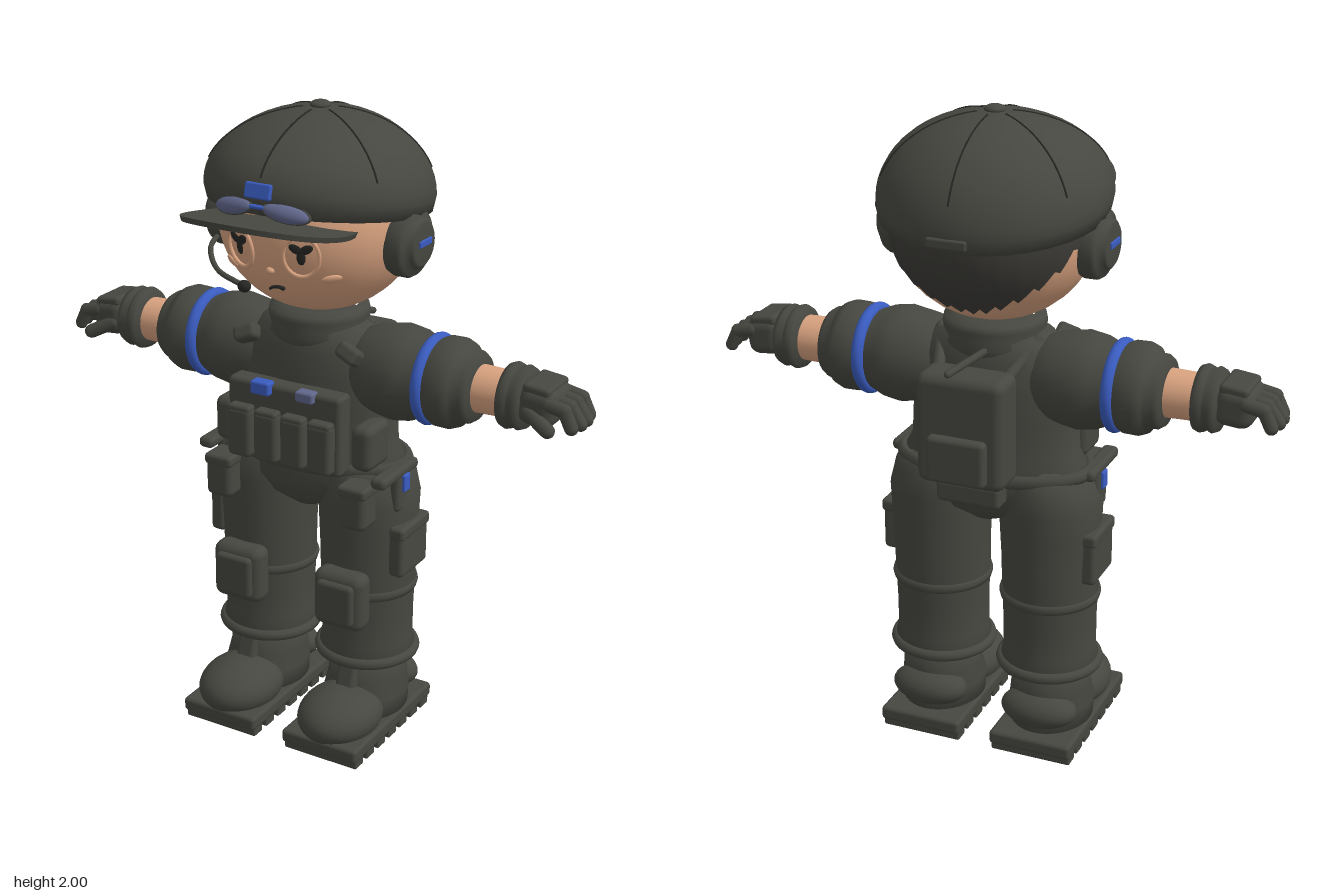
import * as THREE from 'three';
import { RoundedBoxGeometry } from 'three/addons/geometries/RoundedBoxGeometry.js';

const material = (name, color) => Object.assign(new THREE.MeshStandardMaterial({ color }), { name });
const V = (x, y, z) => new THREE.Vector3(x, y, z);

export function createModel() {
  const cloth = material('charcoal cloth', 0x464740);
  const skin = material('skin', 0xd9a380);
  const blue = material('blue trim', 0x3a5cc0);
  const lens = material('goggle lens', 0x60668a);
  const black = material('black', 0x262624);
  const model = new THREE.Group();
  model.name = 'officer';

  // ---- helpers ----
  const add = (name, geo, mat, p = [0, 0, 0], rot = [0, 0, 0], parent = model) => {
    const m = new THREE.Mesh(geo, mat);
    m.name = name;
    m.position.set(...p);
    m.rotation.set(...rot);
    parent.add(m);
    return m;
  };
  const box = (w, h, d, r = 0.015) => new RoundedBoxGeometry(w, h, d, 2, Math.min(r, w / 2.1, h / 2.1, d / 2.1));
  const ball = (rx, ry, rz) => new THREE.SphereGeometry(1, 32, 20).scale(rx, ry, rz);
  const lathe = (pts) => new THREE.LatheGeometry(pts.map(([y, r]) => new THREE.Vector2(r, y)), 36);
  const rod = (name, a, b, r, mat = cloth) => {
    const d = b.clone().sub(a);
    const m = add(name, new THREE.CapsuleGeometry(r, d.length(), 4, 10), mat, a.clone().add(b).multiplyScalar(0.5).toArray());
    m.quaternion.setFromUnitVectors(V(0, 1, 0), d.normalize());
    return m;
  };
  // closed skin over ellipse sections [y, cx, cz, rx, rz], bottom to top
  const loft = (sections, n = 36) => {
    const first = sections[0], last = sections.at(-1);
    const rings = [[first[0], first[1], first[2], 0, 0], ...sections, [last[0], last[1], last[2], 0, 0]];
    const pos = [], idx = [];
    rings.forEach(([y, cx, cz, rx, rz], i) => {
      for (let j = 0; j < n; j++) {
        const a = (j / n) * Math.PI * 2;
        pos.push(cx + rx * Math.cos(a), y, cz + rz * Math.sin(a));
        if (i === rings.length - 1) continue;
        const p = i * n + j, q = i * n + ((j + 1) % n);
        idx.push(p, p + n, q, p + n, q + n, q);
      }
    });
    const g = new THREE.BufferGeometry();
    g.setAttribute('position', new THREE.Float32BufferAttribute(pos, 3));
    g.setIndex(idx);
    g.computeVertexNormals();
    return g;
  };

  // ---- head ----
  const H = { y: 1.66, z: -0.1, rx: 0.3, ry: 0.275, rz: 0.29 };
  add('head', ball(H.rx, H.ry, H.rz), skin, [0, H.y, H.z]);
  const onFace = (name, x, y) => {
    const z = H.rz * Math.sqrt(1 - (x / H.rx) ** 2 - ((y - H.y) / H.ry) ** 2);
    const g = new THREE.Group();
    g.name = name;
    g.position.set(x, y, z + H.z);
    g.lookAt(x + x / H.rx ** 2, y + (y - H.y) / H.ry ** 2, z + H.z + z / H.rz ** 2);
    model.add(g);
    return g;
  };
  for (const s of [1, -1]) {
    const eye = onFace('eye', 0.1 * s, 1.62);
    add('eyeRim', new THREE.TorusGeometry(0.052, 0.006, 8, 32).scale(1, 1.2, 1), skin, [0, 0, 0], [0, 0, 0], eye);
    for (let i = 0; i < 3; i++) {
      const a = Math.PI / 6 + (i * Math.PI * 2) / 3;
      add('pupil', ball(0.022, 0.013, 0.004), black, [Math.cos(a) * 0.017, 0.015 + Math.sin(a) * 0.017, 0.003], [0, 0, a], eye);
    }
    add('cheek', ball(0.03, 0.014, 0.008), skin, [0, 0, 0], [0, 0, 0.2 * s], onFace('cheekSpot', 0.165 * s, 1.55));
  }
  add('nose', ball(0.013, 0.011, 0.012), skin, [0, 0, 0], [0, 0, 0], onFace('noseSpot', 0, 1.565));
  add('mouth', new THREE.TorusGeometry(0.03, 0.006, 6, 16, Math.PI * 0.7).scale(1, 0.6, 1), black, [0, -0.012, 0.002], [0, 0, Math.PI * 0.15], onFace('mouthSpot', 0, 1.505));

  // hair on the back of the head, jagged lower edge
  const hair = new THREE.PlaneGeometry(1, 1, 40, 10), hp = hair.attributes.position;
  for (let i = 0; i < hp.count; i++) {
    const u = hp.getX(i) * 2, a = u * 1.3;
    const low = 1.455 + 0.22 * u * u + 0.012 * (Math.round((u + 1) * 20) % 3 - 1);
    const y = low + (1.74 - low) * (hp.getY(i) + 0.5);
    const r = Math.sqrt(1 - ((y - H.y) / H.ry) ** 2) * 1.02;
    hp.setXYZ(i, -Math.sin(a) * H.rx * r, y, H.z - Math.cos(a) * H.rz * r);
  }
  hair.computeVertexNormals();
  const hairMat = cloth.clone();
  hairMat.name = 'dark hair';
  hairMat.color.set(0x3c3b37);
  hairMat.side = THREE.DoubleSide;
  add('hair', hair, hairMat);

  // ---- cap ----
  const tilt = (y, z) => y + 0.12 * z * Math.min(1, 1 - y / 0.24);
  const profile = [[-0.04, 0.28], [-0.04, 0.328]];
  for (let i = 0; i <= 14; i++) {
    const t = (i / 14) * Math.PI / 2;
    profile.push([0.24 * Math.sin(t), Math.max(0, 0.337 * Math.cos(t))]);
  }
  const dome = lathe(profile), dp = dome.attributes.position;
  for (let i = 0; i < dp.count; i++) dp.setY(i, tilt(dp.getY(i), dp.getZ(i)));
  dome.computeVertexNormals();
  add('cap', dome, cloth, [0, 1.74, H.z]);
  add('capButton', ball(0.03, 0.014, 0.03), cloth, [0, 1.983, H.z]);
  for (let k = 0; k < 6; k++) {
    const phi = (k * Math.PI) / 3, pts = [];
    for (let t = 0.15; t < 1.3; t += 0.1) {
      const z = 0.337 * Math.sin(t) * Math.cos(phi);
      pts.push(V(0.337 * Math.sin(t) * Math.sin(phi), tilt(0.24 * Math.cos(t), z), z));
    }
    add('capSeam', new THREE.TubeGeometry(new THREE.CatmullRomCurve3(pts), 24, 0.003, 5), black, [0, 1.74, H.z]);
  }
  add('capStrap', box(0.12, 0.03, 0.015), cloth, [0, 1.69, -0.435]);
  const brim = new THREE.CylinderGeometry(1, 0.98, 0.016, 40).scale(0.245, 1, 0.268), bp = brim.attributes.position;
  for (let i = 0; i < bp.count; i++) bp.setY(i, bp.getY(i) - 0.35 * bp.getX(i) ** 2);
  add('brim', brim, cloth, [0, 1.715, 0.17], [-0.17, 0, 0]);

  // goggles resting on the brim
  for (const s of [1, -1]) {
    add('goggleLens', ball(0.068, 0.025, 0.02), lens, [0.085 * s, 1.755, 0.225], [-0.4, 0.25 * s, -0.06 * s]);
    add('goggleFrame', new THREE.TorusGeometry(1, 0.08, 6, 28).scale(0.068, 0.026, 0.06), cloth, [0.085 * s, 1.755, 0.223], [-0.4, 0.25 * s, -0.06 * s]);
  }
  add('goggleBridge', box(0.05, 0.012, 0.02), blue, [0, 1.765, 0.235]);
  add('capBadge', box(0.085, 0.045, 0.03, 0.006), blue, [0, 1.807, 0.225], [-0.25, 0, 0]);

  // ---- headset ----
  const cup = lathe([[0.26, 0.06], [0.265, 0.095], [0.28, 0.102], [0.315, 0.102], [0.328, 0.094], [0.33, 0.072], [0.345, 0.07], [0.352, 0.06], [0.353, 0]]);
  for (const s of [1, -1]) {
    add('earCup', cup, cloth, [0, 1.63, -0.085], [0, 0, -s * Math.PI / 2]);
    add('earLight', box(0.008, 0.02, 0.07, 0.003), blue, [0.354 * s, 1.635, -0.085]);
  }
  const boom = new THREE.CatmullRomCurve3([V(-0.3, 1.58, -0.03), V(-0.27, 1.56, 0.07), V(-0.2, 1.525, 0.14), V(-0.09, 1.505, 0.175)]);
  add('microphoneBoom', new THREE.TubeGeometry(boom, 24, 0.008, 8), cloth);
  add('microphone', ball(0.02, 0.018, 0.018), black, [-0.085, 1.505, 0.177]);

  // ---- torso ----
  const Z = -0.1;
  add('torso', loft([[0.775, 0, Z, 0.07, 0.1], [0.81, 0, Z, 0.18, 0.14], [0.87, 0, Z, 0.285, 0.162], [0.93, 0, Z, 0.295, 0.165], [0.99, 0, Z, 0.262, 0.155],
    [1.1, 0, Z, 0.255, 0.16], [1.2, 0, Z, 0.255, 0.157], [1.28, 0, Z, 0.235, 0.15], [1.34, 0, Z, 0.18, 0.135], [1.37, 0, Z, 0.12, 0.11]]), cloth);
  add('collar', lathe([[1.3, 0.145], [1.325, 0.155], [1.345, 0.147], [1.37, 0.152], [1.39, 0.148], [1.4, 0.12]]), cloth, [0, 0, Z]);
  add('belt', new THREE.TorusGeometry(1, 0.07, 8, 48).rotateX(Math.PI / 2).scale(0.292, 0.3, 0.17), cloth, [0, 0.935, Z]);
  add('chestPanel', box(0.385, 0.25, 0.07), cloth, [0, 1.065, 0.075]);
  for (let i = 0; i < 4; i++) {
    const x = -0.136 + i * 0.091;
    add('chestPouch', box(0.08, 0.155, 0.06), cloth, [x, 1.03, 0.115]);
    add('pouchFlap', box(0.076, 0.03, 0.06, 0.01), cloth, [x, 1.1, 0.113]);
  }
  add('chestTag', box(0.065, 0.042, 0.04, 0.008), blue, [-0.07, 1.178, 0.11]);
  add('chestDevice', box(0.06, 0.034, 0.04, 0.008), lens, [0.08, 1.178, 0.108]);

  // ---- backpack ----
  add('backpack', box(0.27, 0.335, 0.13, 0.03), cloth, [0, 1.113, -0.31]);
  add('backpackPocket', box(0.18, 0.14, 0.05, 0.015), cloth, [0, 1.035, -0.378]);
  add('backPouch', box(0.2, 0.07, 0.07), cloth, [0, 0.9, -0.28]);
  rod('packHandle', V(-0.05, 1.335, -0.2), V(0.03, 1.29, -0.37), 0.011);

  const sleeve = lathe([[0.08, 0.05], [0.13, 0.105], [0.2, 0.132], [0.28, 0.145], [0.33, 0.137], [0.37, 0.12], [0.4, 0.124], [0.42, 0.134], [0.46, 0.135],
    [0.485, 0.125], [0.49, 0.108], [0.515, 0.108], [0.53, 0.098], [0.535, 0.065]]);
  const wrist = lathe([[0.612, 0.065], [0.62, 0.092], [0.635, 0.098], [0.65, 0.093], [0.655, 0.086], [0.67, 0.095], [0.687, 0.088], [0.695, 0.05]]);
  for (const s of [1, -1]) {
    // ---- arm ----
    const turn = [0, 0, -s * Math.PI / 2], arm = [0, 1.225, -0.105];
    add('sleeve', sleeve, cloth, arm, turn);
    add('armBand', new THREE.TorusGeometry(0.119, 0.019, 12, 40), blue, [0.387 * s, 1.225, -0.105], [0, Math.PI / 2, 0]);
    add('forearm', lathe([[0.5, 0.072], [0.64, 0.068]]), skin, arm, turn);
    add('gloveCuff', wrist, cloth, arm, turn);
    add('palm', box(0.115, 0.115, 0.155, 0.035), cloth, [0.735 * s, 1.228, -0.1], [0, 0, -0.1 * s]);
    add('knucklePad', box(0.085, 0.03, 0.14, 0.012), cloth, [0.735 * s, 1.28, -0.1], [0, 0, -0.12 * s]);
    for (let i = 0; i < 4; i++) {
      const z = -0.163 + i * 0.041, tip = i % 3 ? 0.855 : 0.845;
      rod('fingerBase', V(0.77 * s, 1.247, z), V(0.822 * s, 1.237, z), 0.021);
      rod('fingerTip', V(0.822 * s, 1.237, z), V(tip * s, 1.19, z), 0.02);
    }
    rod('thumb', V(0.715 * s, 1.215, -0.035), V(0.785 * s, 1.18, -0.012), 0.022);

    // ---- shoulder and hip gear ----
    add('shoulderClip', box(0.075, 0.05, 0.06), cloth, [0.175 * s, 1.3, 0.025], [-0.5, 0, -0.4 * s]);
    rod('packStrap', V(0.1 * s, 1.25, -0.28), V(0.15 * s, 1.34, -0.14), 0.018);
    add('sidePouch', box(0.07, 0.14, 0.13, 0.025), cloth, [0.235 * s, 1.025, 0.005]);
    add('hipPouch', box(0.09, 0.13, 0.09, 0.02), cloth, [0.232 * s, 0.85, 0.07]);
    add('hipFlap', box(0.095, 0.035, 0.095, 0.012), cloth, [0.232 * s, 0.905, 0.07]);
    add('hipRail', box(0.05, 0.035, 0.22), cloth, [0.3 * s, 0.935, -0.03]);
    add('hipHolder', box(0.035, 0.12, 0.08), cloth, [0.305 * s, 0.87, -0.055]);
    add('hipTag', box(0.02, 0.055, 0.035, 0.005), blue, [0.322 * s, 0.9, -0.055]);

    // ---- leg ----
    const c = 0.177 * s;
    add('trouserLeg', loft([[0.29, c, Z, 0.135, 0.135], [0.31, c, Z, 0.15, 0.15], [0.35, c, Z, 0.142, 0.137], [0.45, c, Z, 0.142, 0.14], [0.55, c, Z, 0.145, 0.147],
      [0.65, c, Z, 0.147, 0.15], [0.75, c, Z, 0.152, 0.153], [0.83, c, Z, 0.155, 0.158], [0.91, 0.17 * s, Z, 0.14, 0.157], [0.96, 0.16 * s, Z, 0.1, 0.12]]), cloth);
    add('trouserHem', new THREE.TorusGeometry(0.146, 0.018, 10, 40).rotateX(Math.PI / 2), cloth, [c, 0.3, Z]);
    add('kneePad', box(0.17, 0.185, 0.08, 0.03), cloth, [0.18 * s, 0.53, 0.065]);
    add('kneePlate', box(0.125, 0.135, 0.03, 0.014), cloth, [0.18 * s, 0.53, 0.106]);
    add('kneeStrap', new THREE.TorusGeometry(0.146, 0.008, 6, 40).rotateX(Math.PI / 2).scale(1, 2, 1), cloth, [c, 0.53, Z]);
    add('thighPocket', box(0.05, 0.16, 0.165), cloth, [0.318 * s, 0.68, -0.09]);
    add('pocketFlap', box(0.05, 0.04, 0.175, 0.012), cloth, [0.322 * s, 0.745, -0.09]);

    // ---- boot ----
    const b = 0.182 * s;
    add('bootShaft', loft([[0.08, b, -0.09, 0.125, 0.15], [0.16, b, -0.09, 0.128, 0.15], [0.22, b, -0.1, 0.12, 0.13], [0.31, b, Z, 0.122, 0.13]]), cloth);
    add('bootToe', ball(0.126, 0.085, 0.155), cloth, [b, 0.135, 0.072]);
    add('toeCap', ball(0.095, 0.055, 0.09), cloth, [b, 0.165, 0.09]);
    add('bootHeel', ball(0.12, 0.06, 0.075), cloth, [b, 0.17, -0.198]);
    add('bootTongue', box(0.065, 0.1, 0.05), cloth, [b, 0.24, 0.025], [-0.25, 0, 0]);
    add('sole', box(0.262, 0.045, 0.495, 0.012), cloth, [b, 0.08, -0.037]);
    for (let i = 0; i < 7; i++) add('tread', box(0.255, 0.035, 0.048, 0.006), cloth, [b, 0.05, 0.173 - i * 0.07]);
    add('soleBall', ball(0.1, 0.06, 0.1), black, [b, 0.06, -0.095]);
  }
  return model;
}
